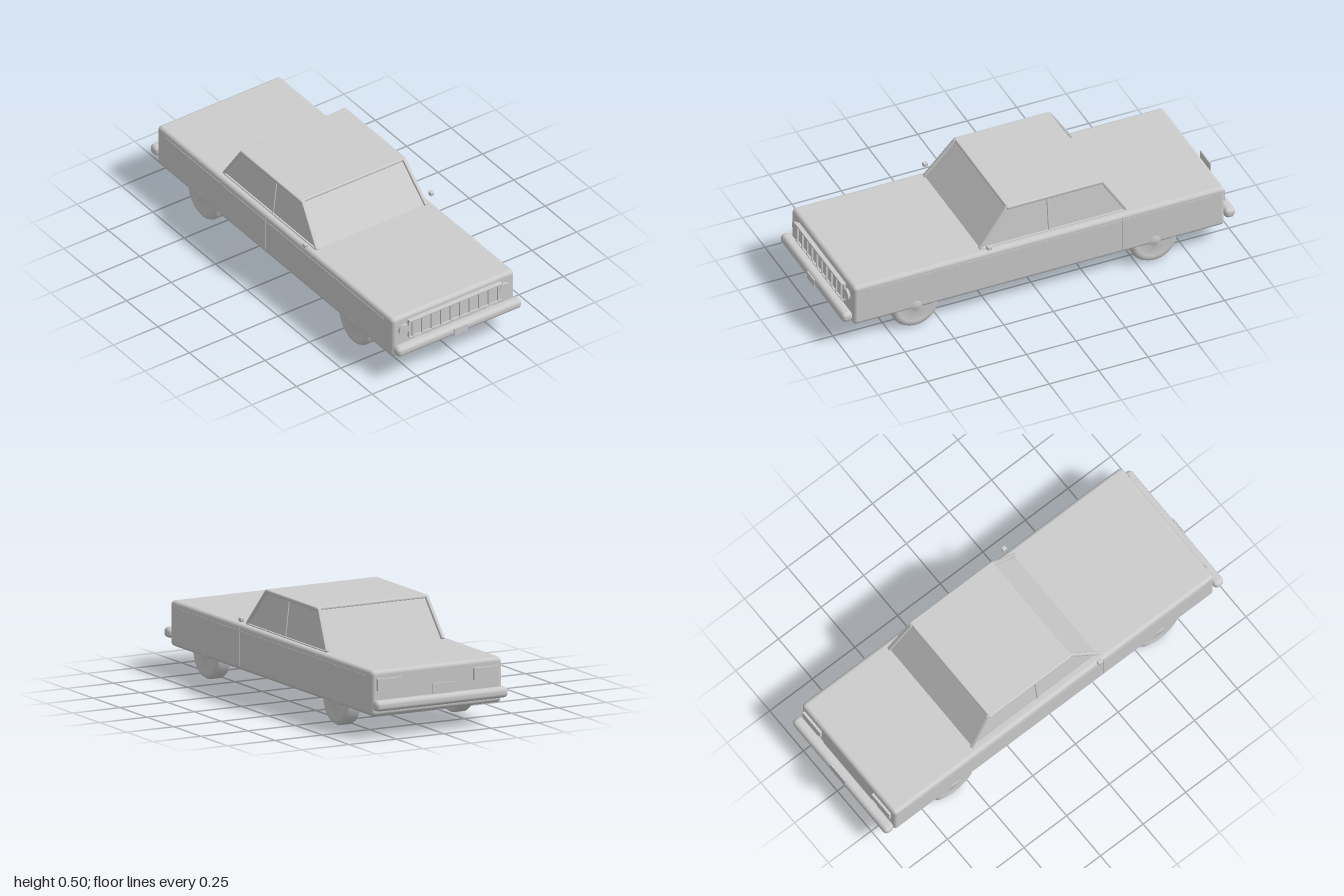
import * as THREE from 'three';
import { RoundedBoxGeometry } from 'three/addons/geometries/RoundedBoxGeometry.js';

const paint = new THREE.MeshStandardMaterial({ color: 0xcccccc });
paint.name = 'plain grey';

// Four-sided tapered solid: each level is { y, x, front, back }
function taperedBlock(levels) {
  const ring = ({ y, x, front, back }) => [[x, y, front], [x, y, back], [-x, y, back], [-x, y, front]];
  const [lo, hi] = levels.map(ring);
  const pos = [];
  const quad = (a, b, c, d) => pos.push(...a, ...b, ...c, ...a, ...c, ...d);
  for (let i = 0; i < 4; i++) {
    const j = (i + 1) % 4;
    quad(lo[i], lo[j], hi[j], hi[i]);
  }
  quad(...hi);
  quad(lo[3], lo[2], lo[1], lo[0]);
  const g = new THREE.BufferGeometry();
  g.setAttribute('position', new THREE.Float32BufferAttribute(pos, 3));
  g.computeVertexNormals();
  return g;
}

export function createModel() {
  const car = new THREE.Group();
  car.name = 'sedan';

  const add = (name, geometry, x = 0, y = 0, z = 0) => {
    const m = new THREE.Mesh(geometry, paint);
    m.name = name;
    m.position.set(x, y, z);
    car.add(m);
    return m;
  };
  const box = (name, w, h, d, x, y, z) => add(name, new THREE.BoxGeometry(w, h, d), x, y, z);
  const rounded = (name, w, h, d, r, x, y, z) => add(name, new RoundedBoxGeometry(w, h, d, 4, r), x, y, z);
  const beam = (name, a, b, w, h = w) => {
    const from = new THREE.Vector3(...a), to = new THREE.Vector3(...b);
    const m = add(name, new RoundedBoxGeometry(w, h, from.distanceTo(to), 2, Math.min(w, h) * 0.3));
    m.position.copy(from).lerp(to, 0.5);
    m.lookAt(to);
    return m;
  };

  // Main body
  rounded('body', 0.69, 0.214, 1.876, 0.02, 0, 0.208, 0);

  // Cabin glass and roof
  add('cabinGlass', taperedBlock([
    { y: 0.305, x: 0.307, front: 0.288, back: -0.457 },
    { y: 0.495, x: 0.284, front: 0.136, back: -0.338 },
  ]));
  rounded('roof', 0.594, 0.016, 0.485, 0.007, 0, 0.495, -0.1);

  // Bumpers
  rounded('frontBumper', 0.7, 0.05, 0.054, 0.021, 0, 0.157, 0.968);
  rounded('rearBumper', 0.7, 0.05, 0.054, 0.021, 0, 0.157, -0.966);
  for (const x of [-0.2, 0.2]) {
    box('frontBumperBracket', 0.04, 0.03, 0.04, x, 0.157, 0.94);
    box('rearBumperBracket', 0.04, 0.03, 0.04, x, 0.157, -0.94);
  }

  // Blank plates
  box('frontPlate', 0.076, 0.037, 0.006, 0, 0.156, 0.996);
  box('rearPlate', 0.11, 0.05, 0.006, 0, 0.215, -0.996);

  // Grille
  box('grillePanel', 0.516, 0.088, 0.012, 0, 0.235, 0.942);
  rounded('grilleTopBar', 0.52, 0.009, 0.024, 0.003, 0, 0.284, 0.948);
  box('grilleBottomBar', 0.516, 0.005, 0.02, 0, 0.193, 0.947);
  for (let i = 0; i < 10; i++) box('grilleBar', 0.005, 0.088, 0.02, -0.241 + i * 0.0535, 0.235, 0.947);

  // Wheel profile: rounded tyre shoulder, dished rim and hub cap
  const tyre = new THREE.LatheGeometry([
    [0, -0.041], [0.1, -0.041], [0.113, -0.036], [0.12, -0.024],
    [0.12, 0.024], [0.113, 0.036], [0.1, 0.041], [0.085, 0.041],
    [0.08, 0.037], [0.03, 0.037], [0.026, 0.045], [0, 0.047],
  ].map(([r, y]) => new THREE.Vector2(r, y)), 40);

  for (const s of [-1, 1]) {
    for (const z of [0.62, -0.585]) {
      add('wheel', tyre, s * 0.301, 0.12, z).rotation.z = -s * Math.PI / 2;
    }

    // Lamps
    add('headlight', new THREE.CylinderGeometry(0.028, 0.028, 0.016, 32), s * 0.283, 0.243, 0.942).rotation.x = Math.PI / 2;
    box('tailLight', 0.13, 0.056, 0.016, s * 0.255, 0.25, -0.942);

    // Window frame
    beam('frontPillar', [s * 0.306, 0.316, 0.286], [s * 0.284, 0.497, 0.138], 0.018, 0.014);
    beam('rearPillar', [s * 0.306, 0.316, -0.455], [s * 0.284, 0.497, -0.34], 0.018, 0.014);
    beam('roofRail', [s * 0.289, 0.492, 0.138], [s * 0.289, 0.492, -0.34], 0.014);
    beam('sill', [s * 0.308, 0.316, 0.28], [s * 0.308, 0.316, -0.45], 0.012, 0.008);
    beam('centrePillar', [s * 0.306, 0.312, -0.067], [s * 0.285, 0.494, -0.067], 0.01, 0.01);

    // Door seams, trim line and mirror
    for (const z of [0.29, -0.075, -0.42]) box('doorSeam', 0.004, 0.18, 0.004, s * 0.344, 0.212, z);
    box('sideTrim', 0.004, 0.006, 1.74, s * 0.345, 0.285, 0);
    rounded('mirror', 0.021, 0.02, 0.024, 0.005, s * 0.354, 0.346, 0.258);
  }
  return car;
}
